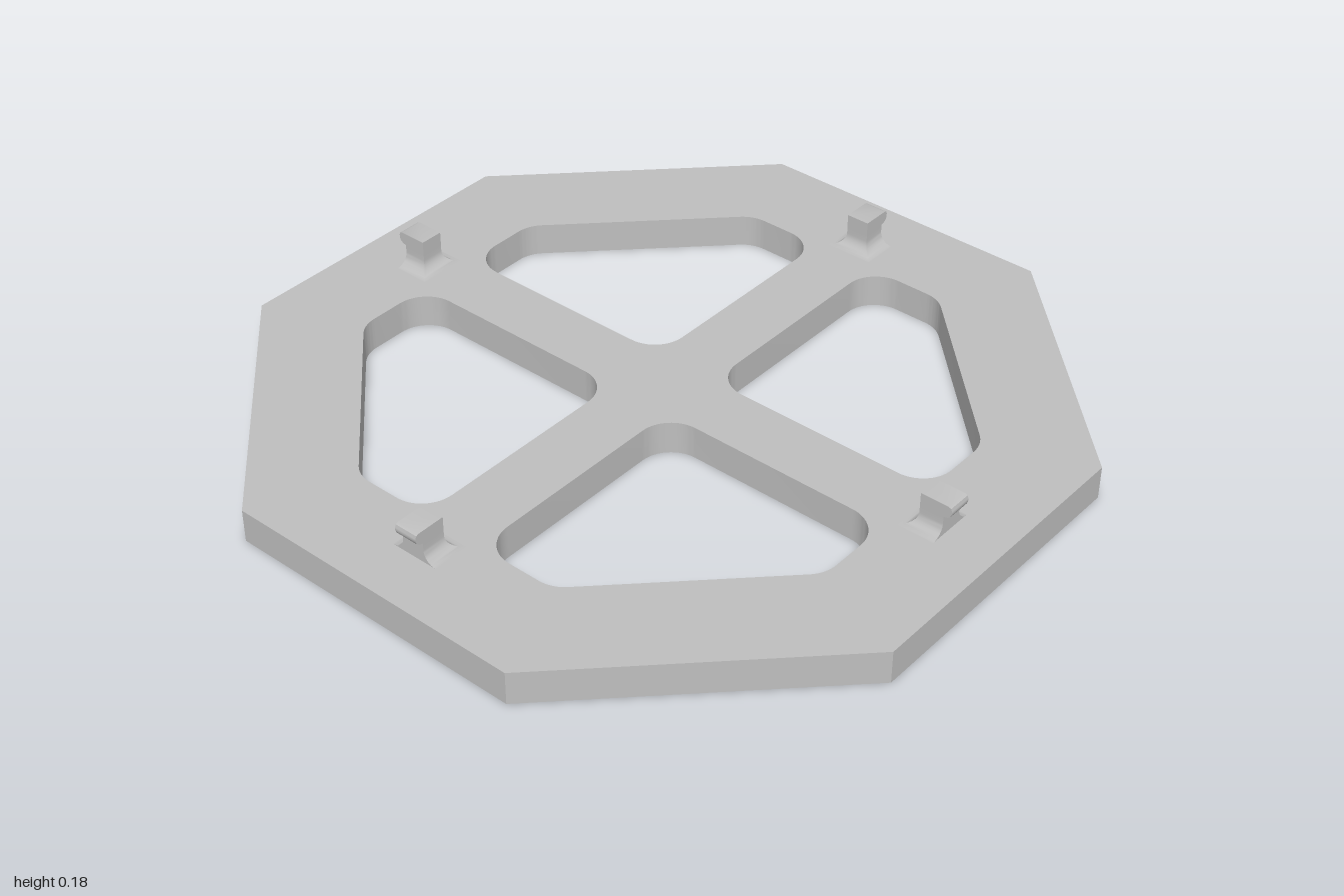
import * as THREE from 'three';
import { toCreasedNormals } from 'three/addons/utils/BufferGeometryUtils.js';

const PLATE_H = 0.09;
const grey = new THREE.MeshStandardMaterial({ color: 0xbfbfbf });
grey.name = 'plain grey';

// Convex counter-clockwise polygon with every corner rounded to radius r
function roundedPolygon(corners, r) {
  const path = new THREE.Path();
  const n = corners.length;
  corners.forEach((p, i) => {
    const dirIn = p.clone().sub(corners[(i + n - 1) % n]).normalize();
    const dirOut = corners[(i + 1) % n].clone().sub(p).normalize();
    const toCentre = dirOut.clone().sub(dirIn).normalize();
    const halfAngle = Math.acos(toCentre.dot(dirOut));
    const c = p.clone().addScaledVector(toCentre, r / Math.sin(halfAngle));
    path.absarc(c.x, c.y, r, dirIn.angle() - Math.PI / 2, dirOut.angle() - Math.PI / 2, false);
  });
  return path.getPoints(8);
}

// Octagonal frame and cross, left by four rounded openings
function plateGeometry() {
  const c = Math.SQRT2 - 1;
  const shape = new THREE.Shape([
    [1, -c], [1, c], [c, 1], [-c, 1], [-1, c], [-1, -c], [-c, -1], [c, -1],
  ].map(([x, y]) => new THREE.Vector2(x, y)));
  const a = 0.088, b = 0.737, d = b * c;
  const opening = roundedPolygon(
    [[a, a], [b, a], [b, d], [d, b], [a, b]].map(([x, y]) => new THREE.Vector2(x, y)), 0.09);
  const origin = new THREE.Vector2();
  for (let q = 0; q < 4; q++) {
    shape.holes.push(new THREE.Path(
      opening.map((p) => p.clone().rotateAround(origin, q * Math.PI / 2))));
  }
  const geo = new THREE.ExtrudeGeometry(shape, { depth: PLATE_H, bevelEnabled: false });
  geo.rotateX(-Math.PI / 2);
  return toCreasedNormals(geo, 0.6);
}

// Clip lofted from rectangles: flared foot on three sides, post, outward lip
function clipGeometry() {
  const inner = 0.792, outer = 0.857, half = 0.032, flare = 0.034;
  const sections = []; // y, inner x, outer x, half width
  for (let i = 0; i <= 8; i++) {
    const t = (i / 8) * Math.PI / 2;
    const f = flare * (1 - Math.sin(t));
    sections.push([PLATE_H + flare * (1 - Math.cos(t)), inner - f, outer, half + f]);
  }
  for (const [y, x] of [[0.145, outer], [0.148, 0.868], [0.154, 0.875], [0.162, 0.878],
    [0.17, 0.878], [0.177, 0.875], [0.18, 0.868]]) sections.push([y, inner, x, half]);

  const positions = [], index = [];
  for (const [y, i, o, h] of sections) positions.push(o, y, h, o, y, -h, i, y, -h, i, y, h);
  for (let s = 0; s < sections.length - 1; s++) {
    for (let j = 0; j < 4; j++) {
      const a = s * 4 + j, b = s * 4 + (j + 1) % 4;
      index.push(a, b, b + 4, a, b + 4, a + 4);
    }
  }
  const top = (sections.length - 1) * 4;
  index.push(top, top + 1, top + 2, top, top + 2, top + 3);
  const geo = new THREE.BufferGeometry();
  geo.setAttribute('position', new THREE.Float32BufferAttribute(positions, 3));
  geo.setIndex(index);
  return toCreasedNormals(geo, 0.6);
}

export function createModel() {
  const model = new THREE.Group();
  model.name = 'octagonalFrame';

  const plate = new THREE.Mesh(plateGeometry(), grey);
  plate.name = 'plate';
  model.add(plate);

  // One clip on each straight side, lip facing outward
  const clipGeo = clipGeometry();
  ['leftClip', 'backClip', 'rightClip', 'frontClip'].forEach((name, i) => {
    const clip = new THREE.Mesh(clipGeo, grey);
    clip.name = name;
    clip.rotation.y = i * Math.PI / 2;
    model.add(clip);
  });
  return model;
}
